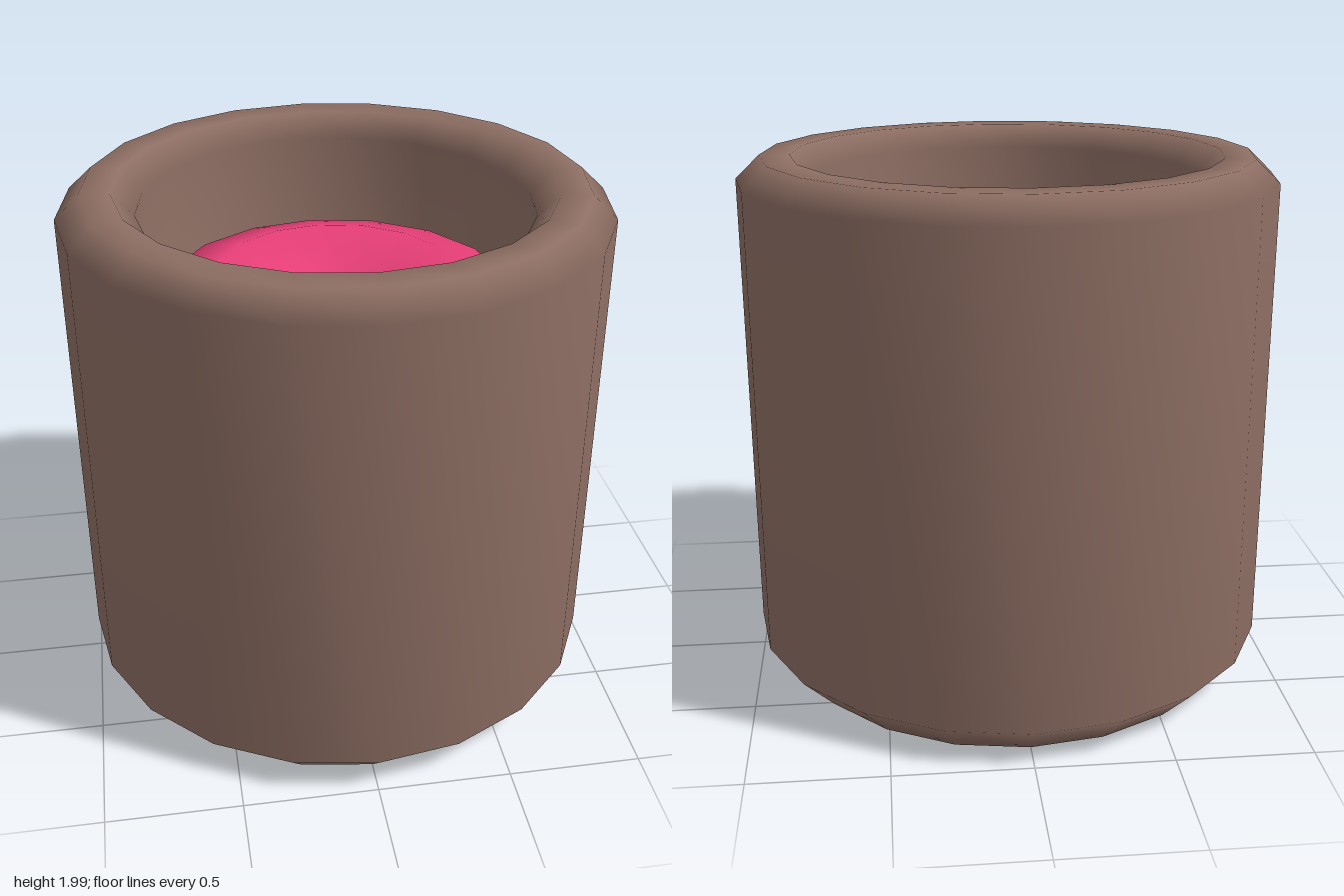
import * as THREE from 'three';

const profile = (pairs) => pairs.map(([r, y]) => new THREE.Vector2(r, y));

export function createModel() {
  const model = new THREE.Group();
  const brown = new THREE.MeshStandardMaterial({ color: 0x8d6e63 });
  brown.name = 'brown';
  const pink = new THREE.MeshStandardMaterial({ color: 0xec407a });
  pink.name = 'pink';
  const stemBrown = new THREE.MeshStandardMaterial({ color: 0x8d7468, flatShading: true });
  stemBrown.name = 'stem brown';

  const add = (name, geometry, material) => {
    const mesh = new THREE.Mesh(geometry, material);
    mesh.name = name;
    model.add(mesh);
    return mesh;
  };

  // Thick-walled cup with bevelled foot and rounded rim
  add('cup', new THREE.LatheGeometry(profile([
    [0, 0], [0.87, 0], [1, 0.135], [1, 1.905], [0.91, 1.99],
    [0.8, 1.99], [0.72, 1.905], [0.72, 0.25], [0, 0.25],
  ]), 20), brown);

  // Round fruit with a dimpled top, sitting inside the cup
  add('fruit', new THREE.LatheGeometry(profile([
    [0, 0.3], [0.35, 0.36], [0.6, 0.65], [0.715, 1.05], [0.715, 1.4],
    [0.64, 1.585], [0.45, 1.64], [0.22, 1.57], [0, 1.47],
  ]), 16), pink);

  // Short three-sided stem, leaning slightly back and to the right
  const stemGeometry = new THREE.CylinderGeometry(0.065, 0.065, 0.18, 3);
  stemGeometry.rotateY(Math.PI);
  const p = stemGeometry.attributes.position;
  for (let i = 0; i < p.count; i++) {
    const drop = 0.09 - p.getY(i);
    p.setX(i, p.getX(i) + drop * 0.14);
    p.setZ(i, p.getZ(i) + drop * 0.2);
  }
  stemGeometry.computeVertexNormals();
  add('stem', stemGeometry, stemBrown).position.set(-0.01, 1.51, -0.015);

  return model;
}
